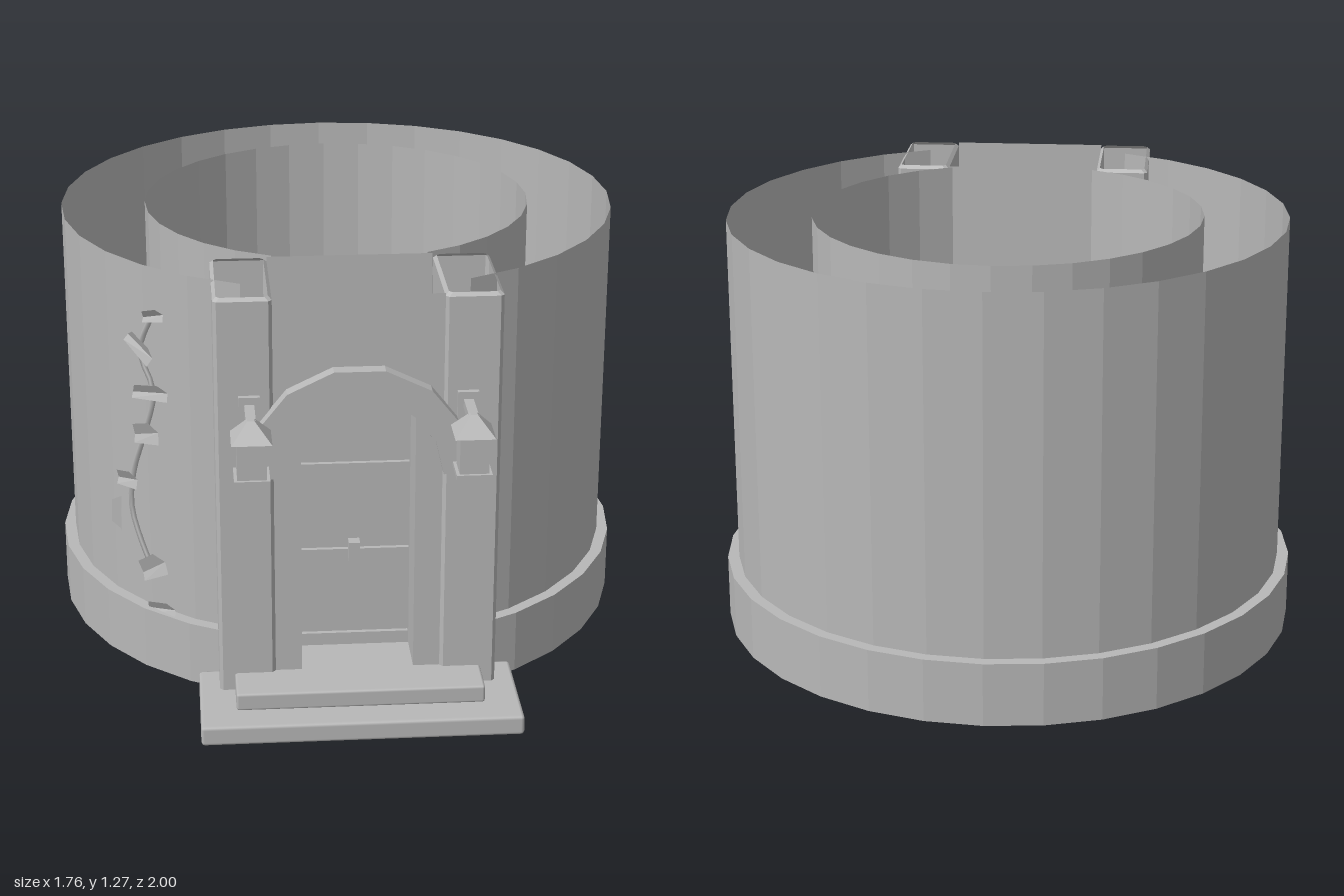
import * as THREE from 'three';
import { RoundedBoxGeometry } from 'three/addons/geometries/RoundedBoxGeometry.js';

const H = 1.275;          // wall height
const CZ = -0.12;         // tower axis
const GAP = Math.PI / 8;  // half angle of the doorway gap
const SPRING = 0.74;      // height where the arch starts

export function createModel() {
  const model = new THREE.Group();
  model.name = 'towerEntrance';
  const stone = new THREE.MeshStandardMaterial({ color: 0xb8b8b8, side: THREE.DoubleSide });
  stone.name = 'stone grey';

  function add(name, geo, x = 0, y = 0, z = 0, parent = model) {
    const mesh = new THREE.Mesh(geo, stone);
    mesh.name = name;
    mesh.position.set(x, y, z);
    parent.add(mesh);
    return mesh;
  }
  const box = (w, h, d) => new THREE.BoxGeometry(w, h, d);

  // Faceted skin through a list of cross-sections with equal point counts
  function skin(sections, closed = false) {
    const pos = [];
    for (let s = 0; s + 1 < sections.length; s++) {
      const a = sections[s], b = sections[s + 1], n = a.length;
      for (let i = 0; i < (closed ? n : n - 1); i++) {
        const j = (i + 1) % n;
        for (const p of [a[i], a[j], b[j], a[i], b[j], b[i]]) pos.push(...p);
      }
    }
    const geo = new THREE.BufferGeometry();
    geo.setAttribute('position', new THREE.Float32BufferAttribute(pos, 3));
    geo.computeVertexNormals();
    return geo;
  }

  // Arc around the tower axis, leaving the doorway gap at the front
  function ring(r, y, n) {
    return Array.from({ length: n + 1 }, (_, i) => {
      const t = GAP + (i / n) * (2 * Math.PI - 2 * GAP);
      return [r * Math.sin(t), y, CZ + r * Math.cos(t)];
    });
  }

  // Open round walls
  add('outerWall', skin([ring(0.845, 0, 28), ring(0.845, H, 28)]));
  add('innerWall', skin([ring(0.59, 0, 28), ring(0.59, H, 28)]));

  // Plinth: outer band and a ledge whose inner edge has half as many sides
  const inner = ring(0.805, 0.193, 28);
  for (let i = 1; i < 28; i += 2) {
    inner[i] = inner[i - 1].map((v, k) => (v + inner[i + 1][k]) / 2);
  }
  add('plinth', skin([ring(0.88, 0, 28), ring(0.88, 0.193, 28), inner]));

  // Hollow pillars with chamfered edges, open at the top
  function chamferedRect(y, inset) {
    const x = 0.082 - inset, z = 0.1735 - inset, c = 0.01;
    return [[x - c, z], [x, z - c], [x, -z + c], [x - c, -z],
      [-x + c, -z], [-x, -z + c], [-x, z - c], [-x + c, z]].map(([px, pz]) => [px, y, pz]);
  }
  for (const s of [-1, 1]) {
    add(s > 0 ? 'leftPillar' : 'rightPillar',
      skin([chamferedRect(0, 0), chamferedRect(H - 0.01, 0), chamferedRect(H, 0.01)], true),
      s * 0.322, 0, 0.608);
  }

  // Points of a half circle from right to left
  const arc = (r, n) => Array.from({ length: n + 1 }, (_, i) => {
    const t = (i / n) * Math.PI;
    return new THREE.Vector2(r * Math.cos(t), SPRING + r * Math.sin(t));
  });

  // Panels above the doorway at front and back, joined by the vault
  const panel = new THREE.ShapeGeometry(new THREE.Shape([
    ...arc(0.24, 5), new THREE.Vector2(-0.24, H), new THREE.Vector2(0.24, H)]));
  add('frontPanel', panel, 0, 0, 0.777);
  add('backPanel', panel.clone().rotateY(Math.PI), 0, 0, 0.435);
  add('vault', skin([0.435, 0.777].map(z => arc(0.24, 5).map(p => [p.x, p.y, z]))));

  // Raised arch band
  const band = new THREE.Shape([...arc(0.325, 7), ...arc(0.238, 7).reverse()]);
  add('archBand', new THREE.ExtrudeGeometry(band, { depth: 0.045, bevelEnabled: false }), 0, 0.008, 0.775);

  // Door jambs cut to follow the vault
  for (const s of [-1, 1]) {
    const jamb = new THREE.Shape([[0.163, 0.11], [0.24, 0.11], [0.24, 0.74], [0.194, 0.88], [0.163, 0.902]]
      .map(([x, y]) => new THREE.Vector2(s * x, y)));
    add(s > 0 ? 'leftJamb' : 'rightJamb',
      new THREE.ExtrudeGeometry(jamb, { depth: 0.2, bevelEnabled: false }), 0, 0, 0.57);
  }

  // Door with straps and handle
  const doorShape = new THREE.Shape([[-0.163, 0.06], [0.163, 0.06], [0.163, 0.9], [0.074, 0.966], [-0.074, 0.966], [-0.163, 0.9]]
    .map(([x, y]) => new THREE.Vector2(x, y)));
  add('door', new THREE.ExtrudeGeometry(doorShape, { depth: 0.03, bevelEnabled: false }), 0, 0, 0.595);
  for (const y of [0.147, 0.423, 0.697]) add('doorStrap', box(0.32, 0.026, 0.015), 0, y, 0.631);
  add('doorHandle', box(0.033, 0.06, 0.035), -0.002, 0.438, 0.65);

  // Steps
  add('lowerStep', new RoundedBoxGeometry(0.928, 0.06, 0.34, 1, 0.01), 0, 0.03, 0.83);
  add('upperStep', new RoundedBoxGeometry(0.72, 0.054, 0.31, 1, 0.008), 0, 0.087, 0.755);

  // Lanterns on brackets
  for (const s of [-1, 1]) {
    const lantern = new THREE.Group();
    lantern.name = s > 0 ? 'leftLantern' : 'rightLantern';
    lantern.position.set(s * 0.307, 0, 0.915);
    model.add(lantern);
    add('wallPlate', box(0.06, 0.095, 0.022), 0, 0.94, -0.128, lantern);
    add('bracketArm', box(0.028, 0.026, 0.135), 0, 0.953, -0.06, lantern);
    add('lanternBody', box(0.082, 0.115, 0.082), 0, 0.862, 0, lantern);
    add('lanternBase', box(0.1, 0.014, 0.1), 0, 0.8, 0, lantern);
    const roof = new THREE.CylinderGeometry(0.014, 0.08, 0.055, 4).rotateY(Math.PI / 4).toNonIndexed();
    roof.computeVertexNormals();
    add('lanternRoof', roof, 0, 0.943, 0, lantern);
  }

  // Vine climbing the wall
  const onWall = (x, y, r) => new THREE.Vector3(x, y, CZ + Math.sqrt(r * r - x * x));
  const path = [[-0.57, 1.14], [-0.61, 1.01], [-0.575, 0.9], [-0.6, 0.77], [-0.64, 0.62],
    [-0.65, 0.5], [-0.625, 0.4], [-0.585, 0.3]];
  add('vineStem', new THREE.TubeGeometry(
    new THREE.CatmullRomCurve3(path.map(([x, y]) => onWall(x, y, 0.852))), 24, 0.008, 4));

  // Folded leaves: x, y, turn, length, width
  const leaves = [[-0.57, 1.135, 0.3, 0.08, 0.04], [-0.61, 1.03, -0.5, 0.11, 0.06], [-0.585, 0.895, 0.2, 0.14, 0.05],
    [-0.6, 0.76, 0.3, 0.1, 0.07], [-0.66, 0.59, 0.2, 0.09, 0.055], [-0.685, 0.465, 1.5, 0.11, 0.055],
    [-0.59, 0.33, 0.6, 0.11, 0.075], [-0.57, 0.2, 0.2, 0.11, 0.05]];
  for (const [x, y, turn, l, w] of leaves) {
    const leaf = add('vineLeaf', skin([
      [[-l / 2, -w / 3, 0.008], [l / 2, -w / 2, 0.008]],
      [[-l / 2, 0, -0.002], [l / 2, 0, -0.002]],
      [[-l / 3, w / 2, 0.012], [l / 3, w / 2, 0.012]]]));
    leaf.position.copy(onWall(x, y, 0.86));
    leaf.rotation.set(0, Math.atan2(leaf.position.x, leaf.position.z - CZ), turn, 'YXZ');
  }
  return model;
}
